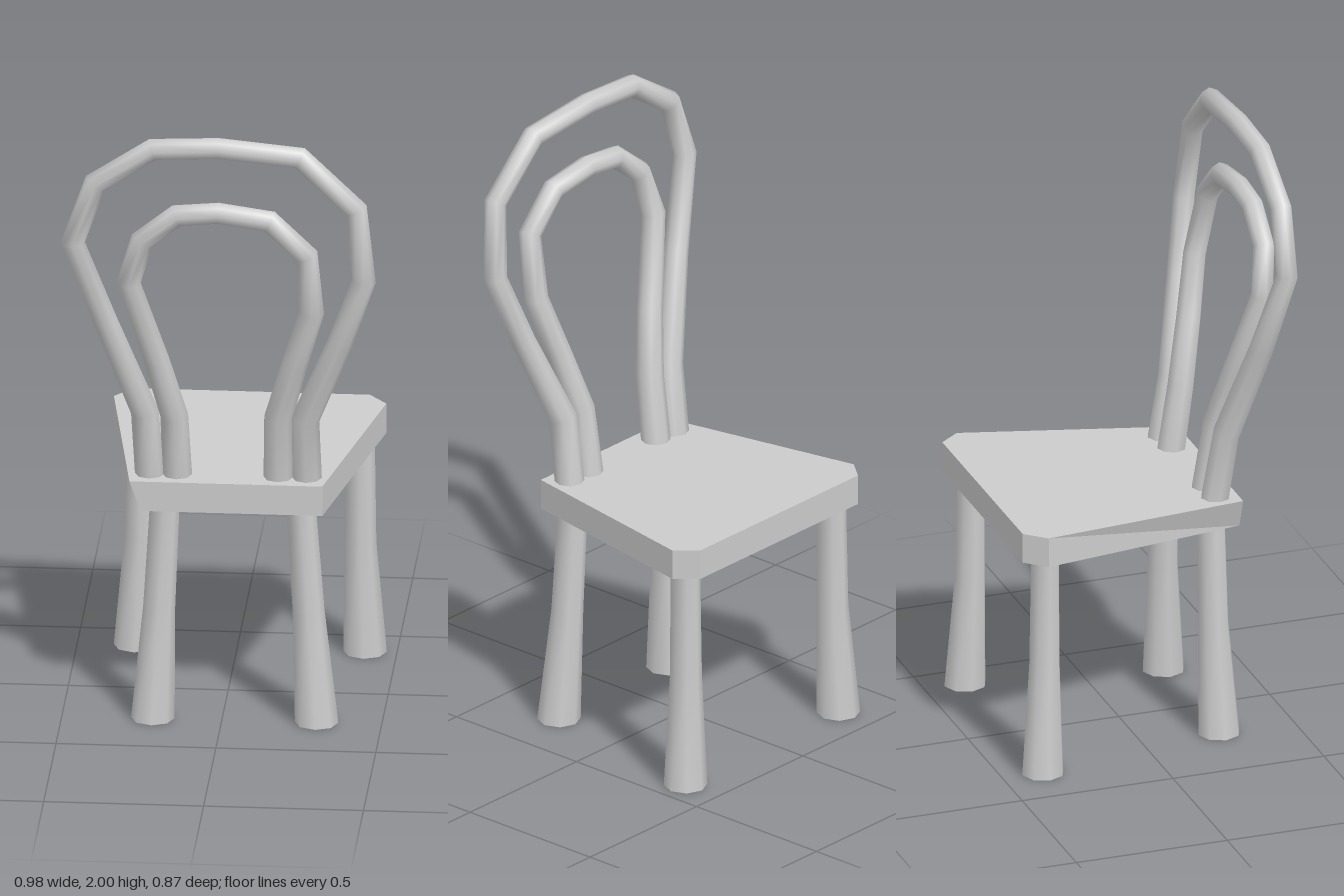
import * as THREE from 'three';

const grey = new THREE.MeshStandardMaterial({ color: 0xcccccc });
const greyFlat = new THREE.MeshStandardMaterial({ color: 0xcccccc, flatShading: true });
const SIDES = 8;

// Sweeps an octagonal section along points [x, y, z, radius], mitred at bends and capped
function sweep(name, points) {
  const path = points.map((p) => new THREE.Vector3(p[0], p[1], p[2]));
  const dirs = path.slice(1).map((p, i) => p.clone().sub(path[i]).normalize());
  const pos = [], index = [];
  const last = path.length - 1;
  path.forEach((p, i) => {
    const before = dirs[Math.max(i - 1, 0)], after = dirs[Math.min(i, last - 1)];
    const t = before.clone().add(after).normalize();
    const side = t.clone().cross(new THREE.Vector3(0, 0, 1)).normalize();
    const up = side.clone().cross(t);
    // End rings stay level so that they sit flat on the seat or floor
    if (i === 0 || i === last) {
      side.set(Math.sign(side.x), 0, 0);
      up.set(0, 0, 1);
    }
    side.multiplyScalar(1 / t.dot(before));
    for (let j = 0; j < SIDES; j++) {
      const a = (j / SIDES) * Math.PI * 2, r = points[i][3];
      const v = p.clone().addScaledVector(side, Math.cos(a) * r).addScaledVector(up, Math.sin(a) * r);
      pos.push(v.x, v.y, v.z);
    }
  });
  for (let i = 0; i < last; i++) {
    for (let j = 0; j < SIDES; j++) {
      const k = (j + 1) % SIDES, a = i * SIDES, b = a + SIDES;
      index.push(a + j, b + j, a + k, a + k, b + j, b + k);
    }
  }
  // Caps use their own vertices to keep a sharp rim
  for (const end of [0, last]) {
    const base = pos.length / 3;
    pos.push(...pos.slice(end * SIDES * 3, (end + 1) * SIDES * 3));
    for (let j = 1; j < SIDES - 1; j++) {
      if (end === 0) index.push(base, base + j, base + j + 1);
      else index.push(base, base + j + 1, base + j);
    }
  }
  const geo = new THREE.BufferGeometry();
  geo.setAttribute('position', new THREE.Float32BufferAttribute(pos, 3));
  geo.setIndex(index);
  geo.computeVertexNormals();
  const mesh = new THREE.Mesh(geo, grey);
  mesh.name = name;
  return mesh;
}

// Backward lean of the hoops as a function of height
const LEAN = [[0.76, 0.23], [1.03, 0.27], [1.3, 0.333], [1.6, 0.393], [1.8, 0.4], [2, 0.396]];
function leanAt(y) {
  let i = 0;
  while (i < LEAN.length - 2 && y > LEAN[i + 1][0]) i++;
  const [y0, z0] = LEAN[i], [y1, z1] = LEAN[i + 1];
  return z0 + ((y - y0) / (y1 - y0)) * (z1 - z0);
}

// Hoop from front-plane points; the rod thins towards the top
function hoop(name, points) {
  return sweep(name, points.map(([x, y]) =>
    [x, y, leanAt(y), THREE.MathUtils.mapLinear(Math.min(y, 1.6), 0.78, 1.6, 0.047, 0.035)]));
}

// Tapered seat with chamfered wide corners and a slight slope
function seat() {
  const outline = [[-0.285, 0.31], [0.318, 0.31], [0.466, -0.37], [0.41, -0.437], [-0.33, -0.437], [-0.386, -0.37]];
  const shape = new THREE.Shape(outline.map(([x, z]) => new THREE.Vector2(x, -z)));
  const geo = new THREE.ExtrudeGeometry(shape, { depth: 1, bevelEnabled: false });
  geo.rotateX(-Math.PI / 2);
  const p = geo.attributes.position;
  for (let i = 0; i < p.count; i++) {
    const bottom = p.getY(i) < 0.5, x = p.getX(i), z = p.getZ(i);
    p.setY(i, (bottom ? 0.712 : 0.81) + (0.31 - z) * 0.027);
    if (bottom && x < 0 && z > 0) p.setX(i, -0.25); // undercut corner
  }
  geo.computeVertexNormals();
  const mesh = new THREE.Mesh(geo, greyFlat);
  mesh.name = 'seat';
  return mesh;
}

export function createModel() {
  const group = new THREE.Group();
  group.name = 'chair';
  group.add(seat());

  // Backrest hoops
  group.add(hoop('outerHoop', [
    [-0.225, 0.78], [-0.24, 1.03], [-0.355, 1.35], [-0.455, 1.64], [-0.385, 1.84], [-0.205, 1.957],
    [0, 1.966], [0.255, 1.942], [0.43, 1.775], [0.454, 1.53], [0.375, 1.3], [0.262, 1.02], [0.265, 0.78],
  ]));
  group.add(hoop('innerHoop', [
    [-0.14, 0.78], [-0.148, 1.02], [-0.2, 1.22], [-0.283, 1.5], [-0.24, 1.65], [-0.13, 1.738],
    [0, 1.75], [0.16, 1.727], [0.275, 1.615], [0.289, 1.41], [0.232, 1.22], [0.177, 1.02], [0.175, 0.78],
  ]));

  // Legs: [x, z] at floor, bend and seat, flaring towards the floor
  const legs = {
    frontRightLeg: [[-0.318, -0.366], [-0.302, -0.355], [-0.3, -0.352]],
    frontLeftLeg: [[0.4, -0.366], [0.386, -0.355], [0.385, -0.352]],
    backRightLeg: [[-0.216, 0.254], [-0.197, 0.242], [-0.178, 0.24]],
    backLeftLeg: [[0.296, 0.254], [0.27, 0.242], [0.244, 0.24]],
  };
  for (const [name, [a, b, c]] of Object.entries(legs)) {
    group.add(sweep(name, [
      [a[0], 0, a[1], 0.068], [b[0], 0.37, b[1], 0.05], [c[0], 0.75, c[1], 0.046],
    ]));
  }
  return group;
}
